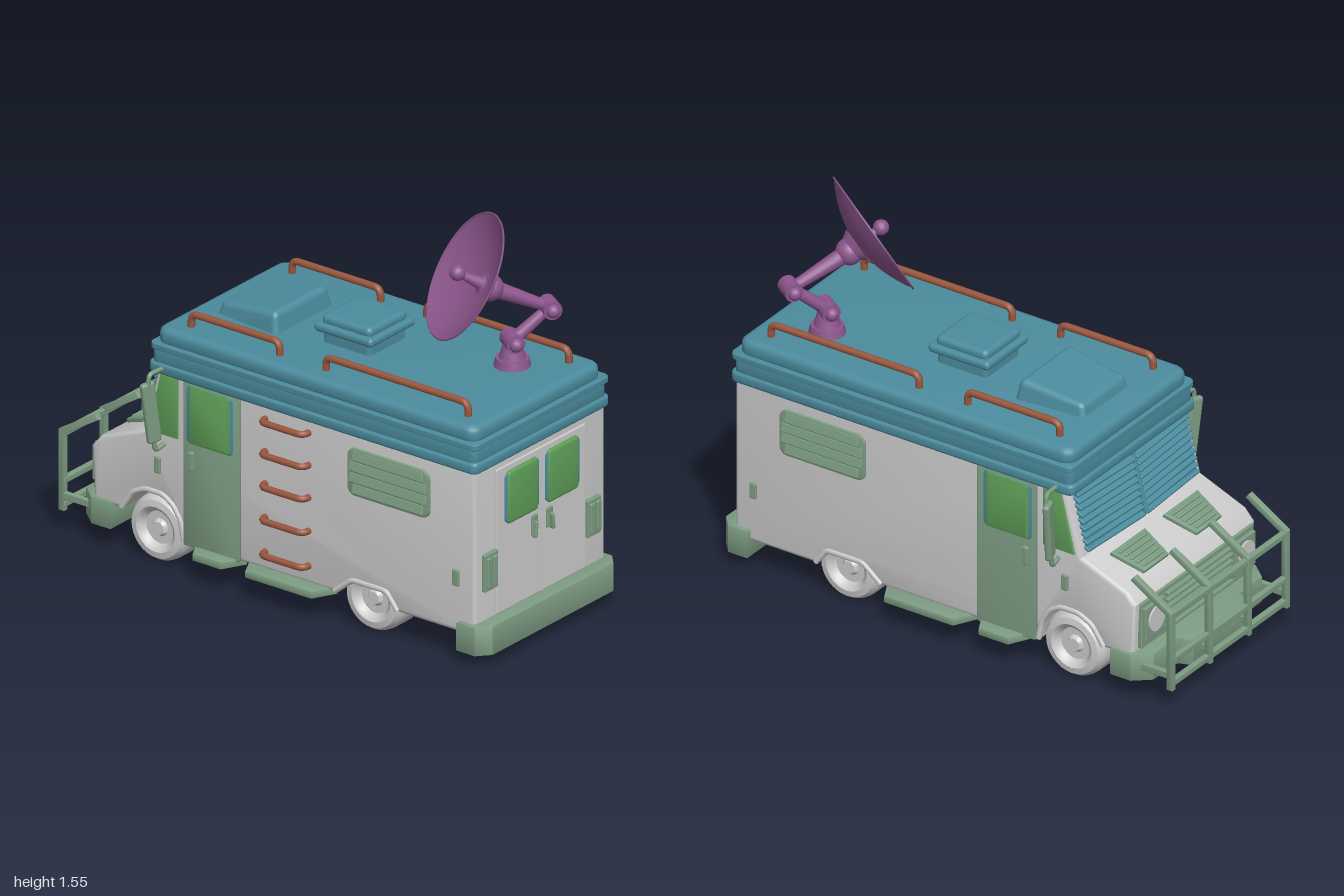
import * as THREE from 'three';
import { toCreasedNormals } from 'three/addons/utils/BufferGeometryUtils.js';
import { RoundedBoxGeometry } from 'three/addons/geometries/RoundedBoxGeometry.js';

const mat = (color) => new THREE.MeshStandardMaterial({ color });
const GREY = mat(0xcccccc), TEAL = mat(0x4c8c9e), SAGE = mat(0x7d9c82), GLASS = mat(0x5f9f58);
const BROWN = mat(0x9a573e), PURPLE = mat(0x8c568c);
const DISH = PURPLE.clone();
DISH.side = THREE.DoubleSide;
const V = (x, y, z) => new THREE.Vector3(x, y, z);
const UP = V(0, 1, 0);

// Shape from corner points
const poly = (pts) => new THREE.Shape(pts.map(([a, b]) => new THREE.Vector2(a, b)));

// Rectangle with rounded corners, centred on (cx, cy)
function roundRect(w, h, r, cx = 0, cy = 0) {
  const s = new THREE.Shape(), x = w / 2 - r, y = h / 2 - r;
  s.absarc(cx + x, cy + y, r, 0, Math.PI / 2);
  s.absarc(cx - x, cy + y, r, Math.PI / 2, Math.PI);
  s.absarc(cx - x, cy - y, r, Math.PI, Math.PI * 1.5);
  s.absarc(cx + x, cy - y, r, Math.PI * 1.5, Math.PI * 2);
  return s;
}

// Bevelled extrusion, centred along its depth
function extrude(shape, depth, bevel = 0.004, segs = 2) {
  const g = new THREE.ExtrudeGeometry(shape, {
    depth: depth - 2 * bevel, bevelThickness: bevel, bevelSize: bevel, bevelOffset: -bevel,
    bevelSegments: segs, curveSegments: 5,
  });
  g.translate(0, 0, bevel - depth / 2);
  return toCreasedNormals(g, 0.6);
}
// Shape in (forward, up), thickness along x
const sidePlate = (shape, depth, bevel, segs) => extrude(shape, depth, bevel, segs).rotateY(Math.PI / 2);
// Shape in (x, forward), filling y0..y1
const slab = (shape, y0, y1, bevel, segs) =>
  extrude(shape, y1 - y0, bevel, segs).rotateX(-Math.PI / 2).translate(0, (y0 + y1) / 2, 0);
const box = (w, h, d, r = 0.005) => new RoundedBoxGeometry(w, h, d, 2, r);

// Tube along a polyline with rounded corners
function bentTube(pts, radius, bend = 0.03) {
  const path = new THREE.CurvePath();
  let from = pts[0];
  for (let i = 1; i < pts.length - 1; i++) {
    const a = pts[i].clone().add(pts[i - 1].clone().sub(pts[i]).setLength(bend));
    const b = pts[i].clone().add(pts[i + 1].clone().sub(pts[i]).setLength(bend));
    path.add(new THREE.LineCurve3(from, a));
    path.add(new THREE.QuadraticBezierCurve3(a, pts[i], b));
    from = b;
  }
  path.add(new THREE.LineCurve3(from, pts[pts.length - 1]));
  return new THREE.TubeGeometry(path, 60, radius, 8);
}

export function createModel() {
  const model = new THREE.Group();
  const add = (name, geo, m, x = 0, y = 0, z = 0, parent = model) => {
    const mesh = new THREE.Mesh(geo, m);
    mesh.name = name;
    mesh.position.set(x, y, z);
    parent.add(mesh);
    return mesh;
  };
  const strut = (name, a, b, r0, r1, m) => {
    const mesh = add(name, new THREE.CylinderGeometry(r1, r0, a.distanceTo(b), 16), m);
    mesh.position.copy(a).lerp(b, 0.5);
    mesh.quaternion.setFromUnitVectors(UP, b.clone().sub(a).normalize());
    return mesh;
  };

  // Body: side profile with wheel arches, bonnet and sloping windscreen
  const rearArch = [[-0.58, 0.12], [-0.53, 0.185], [-0.37, 0.185], [-0.29, 0.12]];
  const frontArch = [[0.41, 0.12], [0.425, 0.2], [0.46, 0.255], [0.51, 0.285], [0.59, 0.285], [0.65, 0.255], [0.7, 0.18]];
  add('body', sidePlate(poly([[-0.94, 0.12], ...rearArch, ...frontArch,
    [0.83, 0.18], [0.84, 0.4], [0.8, 0.445], [0.6, 0.525], [0.53, 0.8], [-0.94, 0.8]]), 0.78, 0.018, 3), GREY);
  add('chassis', box(0.42, 0.25, 1.36), GREY, 0, 0.247, -0.07);

  // Roof tiers, in plan
  const tier = (w, back, front, y0, y1, bevel, r) =>
    add('roofTier', slab(roundRect(w, back + front, r, 0, (front - back) / 2), y0, y1, bevel, 3), TEAL);
  tier(0.81, 0.955, 0.57, 0.778, 0.82, 0.008, 0.03);
  tier(0.79, 0.945, 0.56, 0.81, 0.885, 0.006, 0.03);
  tier(0.81, 0.955, 0.565, 0.872, 0.897, 0.006, 0.03);
  tier(0.77, 0.935, 0.55, 0.88, 0.953, 0.025, 0.05);

  // Square roof vent
  add('ventBase', box(0.22, 0.1, 0.22, 0.02), TEAL, 0, 0.97, 0.125);
  add('ventFlange', box(0.27, 0.035, 0.27, 0.015), TEAL, 0, 1.015, 0.125);
  add('ventCap', box(0.23, 0.045, 0.23, 0.02), TEAL, 0, 1.042, 0.125);

  // Roof scoop: tapers upwards and towards the cab
  const scoop = new RoundedBoxGeometry(0.36, 0.12, 0.31, 4, 0.025);
  const sp = scoop.attributes.position;
  for (let i = 0; i < sp.count; i++) {
    const up = sp.getY(i) / 0.12 + 0.5, fwd = 0.5 - sp.getZ(i) / 0.31;
    sp.setX(i, sp.getX(i) * (1 - 0.12 * up) * (1 - 0.14 * fwd));
    sp.setY(i, sp.getY(i) - 0.035 * up * fwd);
    sp.setZ(i, sp.getZ(i) * (1 - 0.14 * up));
  }
  scoop.computeVertexNormals();
  add('roofScoop', scoop, TEAL, 0, 0.974, -0.3);

  // Windscreen with louvres
  add('windscreen', box(0.7, 0.25, 0.015), TEAL, 0, 0.66, -0.57).rotation.x = 0.258;
  add('windscreenPost', box(0.02, 0.25, 0.03), TEAL, 0, 0.66, -0.585).rotation.x = 0.258;
  for (const s of [-1, 1]) for (let i = 0; i < 9; i++) {
    const slat = add('windscreenLouvre', box(0.35, 0.012, 0.045, 0.004), TEAL, s * 0.183, 0.55 + i * 0.027, -0.6 + i * 0.0058);
    slat.rotation.set(-0.4, -s * 0.04, 0);
  }

  // Bonnet vents
  for (const s of [-1, 1]) {
    const vent = new THREE.Group();
    vent.name = 'bonnetVent';
    vent.position.set(s * 0.17, 0.483, -0.718);
    vent.rotation.x = -0.38;
    model.add(vent);
    add('ventPlate', slab(poly([[-0.11, -0.07], [0.11, -0.07], [0.078, 0.07], [-0.078, 0.07]]), -0.005, 0.012), SAGE, 0, 0, 0, vent);
    for (let i = 0; i < 5; i++)
      add('ventSlat', box(0.175 - i * 0.011, 0.012, 0.013, 0.004), SAGE, 0, 0.013, 0.048 - i * 0.024, vent);
  }

  // Grille and headlights
  add('grillePanel', box(0.72, 0.19, 0.02), SAGE, 0, 0.305, -0.84);
  for (let i = 0; i < 6; i++) add('grilleSlat', box(0.42, 0.014, 0.025, 0.004), SAGE, 0, 0.235 + i * 0.028, -0.855);
  for (const s of [-1, 1]) {
    add('headlightFrame', box(0.13, 0.14, 0.03), SAGE, s * 0.29, 0.31, -0.85);
    add('headlight', new THREE.CylinderGeometry(0.05, 0.05, 0.02, 20).rotateX(Math.PI / 2), GREY, s * 0.29, 0.315, -0.862);
  }

  // Bumpers, in plan
  add('frontBumper', slab(poly([[-0.405, 0.74], [0.405, 0.74], [0.405, 0.83], [0.35, 0.895], [0.2, 0.9], [0.18, 0.955],
    [-0.18, 0.955], [-0.2, 0.9], [-0.35, 0.895], [-0.405, 0.83]]), 0.09, 0.2), SAGE);
  add('rearBumper', slab(poly([[-0.41, -0.87], [-0.41, -0.955], [-0.36, -1], [0.36, -1], [0.41, -0.955], [0.41, -0.87]]), 0.055, 0.17), SAGE);

  // Bull bar
  const bar = poly([[0.815, 0.5], [0.83, 0.52], [1, 0.415], [1, 0.09], [0.975, 0.09], [0.975, 0.4]]);
  for (const x of [-0.37, -0.125, 0.125, 0.37]) {
    add('bullBarPost', sidePlate(bar, 0.026), SAGE, x);
    add('bullBarBracket', box(0.022, 0.03, 0.13), SAGE, x, 0.15, -0.925);
  }
  for (const y of [0.4, 0.21, 0.115]) add('bullBarRail', box(0.76, 0.026, 0.024), SAGE, 0, y, -0.985);

  // Rear doors
  add('rearDoorPanel', box(0.53, 0.58, 0.012), GREY, 0, 0.46, 0.94);
  add('rearDoorSeam', box(0.006, 0.58, 0.004, 0.001), GREY, 0, 0.46, 0.947);

  for (const s of [-1, 1]) {
    // Rear windows, handles and lamps
    add('rearWindowFrame', extrude(roundRect(0.2, 0.2, 0.02), 0.015), TEAL, s * 0.12, 0.62, 0.945);
    add('rearWindow', extrude(roundRect(0.18, 0.212, 0.015), 0.03, 0.012, 3), GLASS, s * 0.12, 0.62, 0.945);
    add('rearHandlePlate', box(0.035, 0.08, 0.012), SAGE, s * 0.045, 0.455, 0.947);
    add('rearHandle', box(0.014, 0.065, 0.02), SAGE, s * 0.05, 0.44, 0.957).rotation.z = s * 0.12;
    add('rearLampFrame', box(0.078, 0.15, 0.02), SAGE, s * 0.307, 0.362, 0.945);
    for (const dx of [-0.018, 0.018]) add('rearLamp', box(0.026, 0.12, 0.02), SAGE, s * 0.307 + dx, 0.362, 0.953);

    // Cab door and windows
    const x = s * 0.39;
    add('cabDoor', sidePlate(roundRect(0.262, 0.66, 0.01, 0.275, 0.45), 0.02), SAGE, x);
    add('doorWindowFrame', sidePlate(roundRect(0.215, 0.235, 0.02, 0.282, 0.655), 0.026), TEAL, x);
    add('doorWindow', sidePlate(roundRect(0.192, 0.235, 0.015, 0.282, 0.655), 0.036, 0.01), GLASS, x);
    add('cabWindow', sidePlate(poly([[0.435, 0.535], [0.575, 0.535], [0.515, 0.775], [0.435, 0.775]]), 0.016), GLASS, x);
    add('doorHandle', box(0.03, 0.075, 0.025), SAGE, s * 0.4, 0.47, -0.365);
    add('fenderLamp', box(0.02, 0.065, 0.028), SAGE, x, 0.405, -0.53);
    add('sideMarker', box(0.02, 0.065, 0.03), SAGE, x, 0.34, 0.855);

    // Louvred side window
    add('sideVent', sidePlate(roundRect(0.38, 0.19, 0.035, -0.545, 0.635), 0.022), SAGE, x);
    for (let i = 0; i < 4; i++) {
      const slat = add('sideVentSlat', box(0.014, 0.04, 0.36 - (i % 3 ? 0 : 0.03)), SAGE, s * 0.4, 0.57 + i * 0.044, 0.545);
      slat.rotation.z = s * 0.25;
    }

    // Arch lips
    for (const arch of [rearArch, frontArch])
      add('archLip', bentTube(arch.map(([u, y]) => V(s * 0.387, y + 0.008, -u)), 0.012, 0.02), GREY);

    // Side steps, in plan
    for (const [a, b] of [[0.14, 0.37], [-0.28, 0.125]])
      add('sideStep', slab(poly([[0.36, a], [0.455, a + 0.05], [0.455, b - 0.05], [0.36, b]].map(([px, u]) => [s * px, u])), 0.1, 0.13), SAGE);

    // Mirrors on bent brackets
    const mirror = add('mirror', box(0.06, 0.25, 0.028, 0.012), SAGE, s * 0.462, 0.648, -0.508);
    mirror.rotation.set(0, s * 0.3, -s * 0.14);
    add('mirrorBracket', bentTube([V(s * 0.37, 0.76, -0.5), V(s * 0.4, 0.805, -0.5), V(s * 0.475, 0.805, -0.505), V(s * 0.48, 0.74, -0.508)], 0.009, 0.018), SAGE);
    add('mirrorBracket', bentTube([V(s * 0.38, 0.5, -0.5), V(s * 0.44, 0.485, -0.505), V(s * 0.45, 0.56, -0.508)], 0.009, 0.02), SAGE);

    // Roof rails
    for (const [a, b] of [[0.84, 0.18], [-0.035, -0.445]])
      add('roofRail', bentTube([V(s * 0.3, 0.94, a), V(s * 0.3, 1.005, a), V(s * 0.3, 1.005, b), V(s * 0.3, 0.94, b)], 0.014), BROWN);

    // Wheels: tyre and dished hub turned about the axle
    const profile = [[0, 0.06], [0.025, 0.06], [0.035, 0.045], [0.065, 0.045], [0.075, 0.065], [0.09, 0.075],
      [0.115, 0.07], [0.128, 0.05], [0.132, 0.03], [0.132, -0.05], [0.12, -0.08], [0, -0.08]];
    const wheel = toCreasedNormals(new THREE.LatheGeometry(profile.map(([r, h]) => new THREE.Vector2(r, h)).reverse(), 32), 0.7);
    for (const z of [0.45, -0.55]) add('wheel', wheel, GREY, s * 0.305, 0.134, z).rotation.z = -s * Math.PI / 2;
  }

  // Ladder rungs
  for (const y of [0.73, 0.6, 0.47, 0.335, 0.195])
    add('ladderRung', bentTube([V(-0.37, y, -0.03), V(-0.425, y, -0.03), V(-0.425, y, 0.17), V(-0.37, y, 0.17)], 0.013), BROWN);

  // Jointed dish arm
  const shoulder = V(0.155, 1.05, 0.69), elbow = V(0.275, 1.165, 0.77), hub = V(0.085, 1.275, 0.64);
  add('armBase', new THREE.CylinderGeometry(0.062, 0.07, 0.035, 24), PURPLE, 0.155, 0.968, 0.69);
  strut('armPedestal', V(0.155, 0.98, 0.69), shoulder, 0.052, 0.032, PURPLE);
  strut('upperArm', shoulder, elbow, 0.026, 0.02, PURPLE);
  strut('forearm', elbow, hub, 0.02, 0.034, PURPLE);
  const hinge = V(-0.55, 0, 0.83);
  for (const [p, r, w] of [[shoulder, 0.036, 0.09], [elbow, 0.036, 0.08]]) {
    strut('armJoint', p.clone().addScaledVector(hinge, -w / 2), p.clone().addScaledVector(hinge, w / 2), r, r, PURPLE);
    for (const k of [-1, 1])
      add('jointCap', new THREE.SphereGeometry(r * 0.75, 14, 10), PURPLE).position.copy(p).addScaledVector(hinge, k * w / 2);
  }
  add('armHub', new THREE.SphereGeometry(0.052, 20, 14), PURPLE).position.copy(hub);

  // Dish, opening forward and up
  const dish = new THREE.Group();
  dish.name = 'dish';
  dish.position.set(0.06, 1.295, 0.625);
  dish.quaternion.setFromUnitVectors(UP, V(-0.7, 0.505, -0.505).normalize());
  model.add(dish);
  const bowl = [];
  for (let i = 0; i <= 12; i++) bowl.push(new THREE.Vector2(0.25 * i / 12, 0.075 * (i / 12) ** 2));
  add('dishBowl', new THREE.LatheGeometry(bowl, 48), DISH, 0, 0, 0, dish);
  add('dishRim', new THREE.TorusGeometry(0.25, 0.004, 6, 48).rotateX(Math.PI / 2), PURPLE, 0, 0.075, 0, dish);
  add('dishMount', new THREE.CylinderGeometry(0.07, 0.05, 0.03, 24), PURPLE, 0, -0.012, 0, dish);
  add('feedHorn', new THREE.CylinderGeometry(0.013, 0.026, 0.1, 16), PURPLE, 0, 0.05, 0, dish);
  add('feedTip', new THREE.SphereGeometry(0.03, 16, 12), PURPLE, 0, 0.11, 0, dish);

  return model;
}
